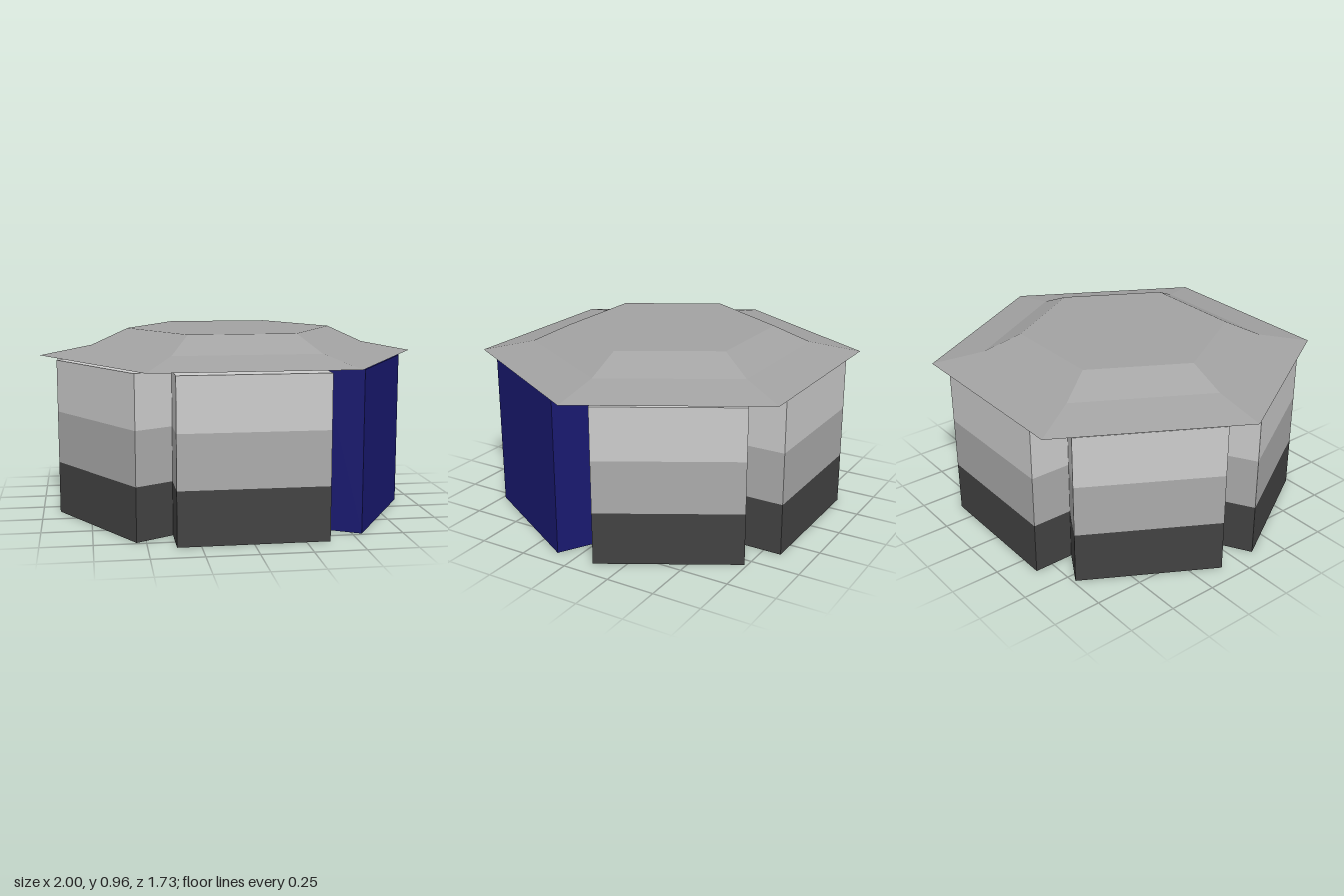
import * as THREE from 'three';

const WALL_H = 0.803;
const HALF_W = 0.365;   // half width of one wing
const VALLEY = 0.632;   // where neighbouring wings meet
const OUTER = 0.842;    // distance of the outer wall
const HUB = 0.05;       // radius of the central hub

const paint = (color) => new THREE.MeshStandardMaterial({ color, flatShading: true });

// Five-sided wing plan: a sixth of a hexagon plus a straight projecting bay.
function wingSlab(y0, y1, material, name) {
  const tipZ = HUB * Math.cos(Math.PI / 6);
  const plan = new THREE.Shape([
    [-HUB / 2, -tipZ], [-HALF_W, -VALLEY], [-HALF_W, -OUTER],
    [HALF_W, -OUTER], [HALF_W, -VALLEY], [HUB / 2, -tipZ],
  ].map(([x, y]) => new THREE.Vector2(x, y)));
  const geo = new THREE.ExtrudeGeometry(plan, { depth: y1 - y0, bevelEnabled: false });
  geo.rotateX(-Math.PI / 2);
  geo.translate(0, y0, 0);
  const mesh = new THREE.Mesh(geo, material);
  mesh.name = name;
  return mesh;
}

// Six-sided solid turned from a profile, with corners on the x axis.
function hexSolid(profile, material, name) {
  const points = profile.map(([r, y]) => new THREE.Vector2(r, y));
  const mesh = new THREE.Mesh(new THREE.LatheGeometry(points, 6, Math.PI / 6), material);
  mesh.name = name;
  return mesh;
}

export function createModel() {
  const model = new THREE.Group();
  model.name = 'hexagonalPavilion';

  const base = paint(0x424242);
  const middle = paint(0xaaaaaa);
  const upper = paint(0xc4c4c4);
  const blue = paint(0x191970);
  const roofGrey = paint(0xa2a2a2);

  // Six wings; the one at the front left is a plain blue block
  for (let i = 0; i < 6; i++) {
    const wing = new THREE.Group();
    if (i === 1) {
      wing.name = 'entranceWing';
      wing.add(wingSlab(0, WALL_H, blue, 'entranceBlock'));
    } else {
      wing.name = 'wing';
      const h = WALL_H / 3;
      wing.add(
        wingSlab(0, h, base, 'lowerWall'),
        wingSlab(h, 2 * h, middle, 'middleWall'),
        wingSlab(2 * h, WALL_H, upper, 'upperWall'),
      );
    }
    wing.rotation.y = i * Math.PI / 3;
    model.add(wing);
  }

  // Central hub between the wing tips
  model.add(hexSolid([[0, 0], [HUB, 0], [HUB, WALL_H], [0, WALL_H]], roofGrey, 'hub'));

  // Collar and two-pitch roof with wide eaves
  model.add(hexSolid([[0, WALL_H], [0.73, WALL_H], [0.73, 0.818], [0, 0.818]], roofGrey, 'roofCollar'));
  model.add(hexSolid(
    [[0, 0.818], [1, 0.818], [0.73, 0.87], [0.54, 0.956], [0, 0.956]], roofGrey, 'roof'));

  return model;
}
